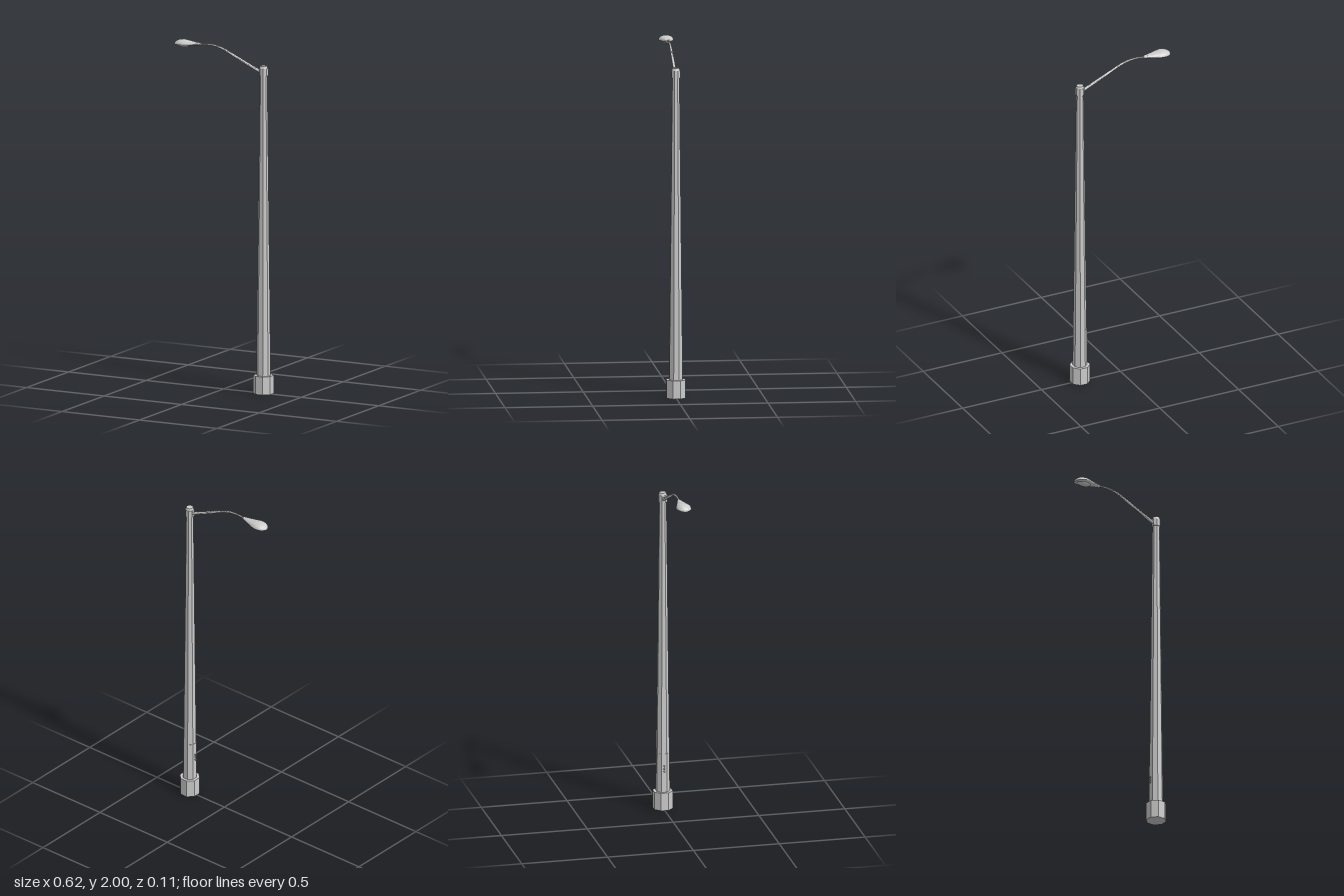
import * as THREE from 'three';
import { toCreasedNormals } from 'three/addons/utils/BufferGeometryUtils.js';

const POLE_X = 0.257;
const grey = new THREE.MeshStandardMaterial({ color: 0xcccccc });
const flat = new THREE.MeshStandardMaterial({ color: 0xcccccc, flatShading: true });

function add(group, name, geometry, material, x = 0, y = 0, z = 0) {
  const mesh = new THREE.Mesh(geometry, material);
  mesh.name = name;
  mesh.position.set(x, y, z);
  group.add(mesh);
  return mesh;
}

// Octagonal prism with flats on the axes, sized by distance to the flats
function octagon(topHalf, bottomHalf, height) {
  const k = 1 / Math.cos(Math.PI / 8);
  return new THREE.CylinderGeometry(topHalf * k, bottomHalf * k, height, 8)
    .rotateY(Math.PI / 8).translate(0, height / 2, 0);
}

// Skin over rings running towards -x: [x, y, half width, height above, depth below]
function loft(stations, sides) {
  const pos = [], index = [];
  stations.forEach(([x, y, w, up, down], i) => {
    const p = stations[Math.max(i - 1, 0)], n = stations[Math.min(i + 1, stations.length - 1)];
    const dir = new THREE.Vector2(n[0] - p[0], n[1] - p[1]).normalize();
    for (let j = 0; j < sides; j++) {
      const a = (j / sides) * Math.PI * 2, s = Math.sin(a);
      const h = s * (s > 0 ? up : down);
      pos.push(x + dir.y * h, y - dir.x * h, w * Math.cos(a));
      if (i === 0) continue;
      const b = (i - 1) * sides, k = (j + 1) % sides;
      index.push(b + j, b + k, b + sides + j, b + k, b + sides + k, b + sides + j);
    }
  });
  // Close both ends
  const last = (stations.length - 1) * sides;
  for (let j = 1; j < sides - 1; j++) {
    index.push(0, j + 1, j, last, last + j, last + j + 1);
  }
  const g = new THREE.BufferGeometry();
  g.setAttribute('position', new THREE.Float32BufferAttribute(pos, 3));
  g.setIndex(index);
  return toCreasedNormals(g, 0.9);
}

export function createModel() {
  const group = new THREE.Group();
  group.name = 'streetLamp';

  // Base and tapered mast
  add(group, 'base', octagon(0.054, 0.054, 0.105), flat, POLE_X);
  add(group, 'pole', octagon(0.02, 0.038, 1.76), flat, POLE_X, 0.1);

  // Collar with a round lid on top of the mast
  add(group, 'collar', octagon(0.025, 0.025, 0.042), flat, POLE_X, 1.838);
  add(group, 'lid', new THREE.CylinderGeometry(0.02, 0.024, 0.014, 24), flat, POLE_X, 1.887);

  // Service door wrapped round the -x side of the mast
  const door = new THREE.Shape();
  door.moveTo(-0.022, 0.0305);
  door.lineTo(-0.0375, 0.0155);
  door.lineTo(-0.0375, -0.0155);
  door.lineTo(-0.022, -0.0305);
  const doorGeo = new THREE.ExtrudeGeometry(door, { depth: 0.13, bevelEnabled: false });
  doorGeo.rotateX(-Math.PI / 2);
  add(group, 'door', doorGeo, flat, POLE_X, 0.205);
  for (const y of [0.23, 0.246, 0.262]) {
    const knob = new THREE.CylinderGeometry(0.004, 0.004, 0.012, 8).rotateZ(Math.PI / 2);
    add(group, 'doorLatch', knob, grey, POLE_X - 0.043, y);
  }

  // Curved tapering arm
  const path = new THREE.CatmullRomCurve3([
    [0.25, 1.853], [0.165, 1.89], [0.087, 1.926], [0.02, 1.957],
    [-0.025, 1.974], [-0.065, 1.982], [-0.11, 1.983], [-0.16, 1.979],
  ].map(([x, y]) => new THREE.Vector3(x, y, 0)));
  const arm = path.getPoints(28).map((p, i) => {
    const r = THREE.MathUtils.lerp(0.0095, 0.0045, i / 28);
    return [p.x, p.y, r, r, r];
  });
  add(group, 'arm', loft(arm, 10), grey);

  // Teardrop lamp head: domed above, shallow below
  add(group, 'lampHead', loft([
    [-0.145, 1.980, 0.011, 0.008, 0.008],
    [-0.165, 1.979, 0.0165, 0.010, 0.008],
    [-0.190, 1.977, 0.0245, 0.0145, 0.009],
    [-0.215, 1.975, 0.033, 0.019, 0.009],
    [-0.238, 1.974, 0.040, 0.0235, 0.009],
    [-0.260, 1.973, 0.0435, 0.0265, 0.008],
    [-0.280, 1.972, 0.0405, 0.025, 0.008],
    [-0.296, 1.971, 0.033, 0.020, 0.007],
    [-0.307, 1.970, 0.0215, 0.013, 0.005],
    [-0.3125, 1.969, 0.010, 0.006, 0.003],
    [-0.314, 1.969, 0.001, 0.001, 0.001],
  ], 24), grey);

  // Lens bulging from the underside
  const lens = new THREE.SphereGeometry(1, 24, 12).scale(0.045, 0.012, 0.026);
  add(group, 'lens', lens, grey, -0.255, 1.966);

  return group;
}
